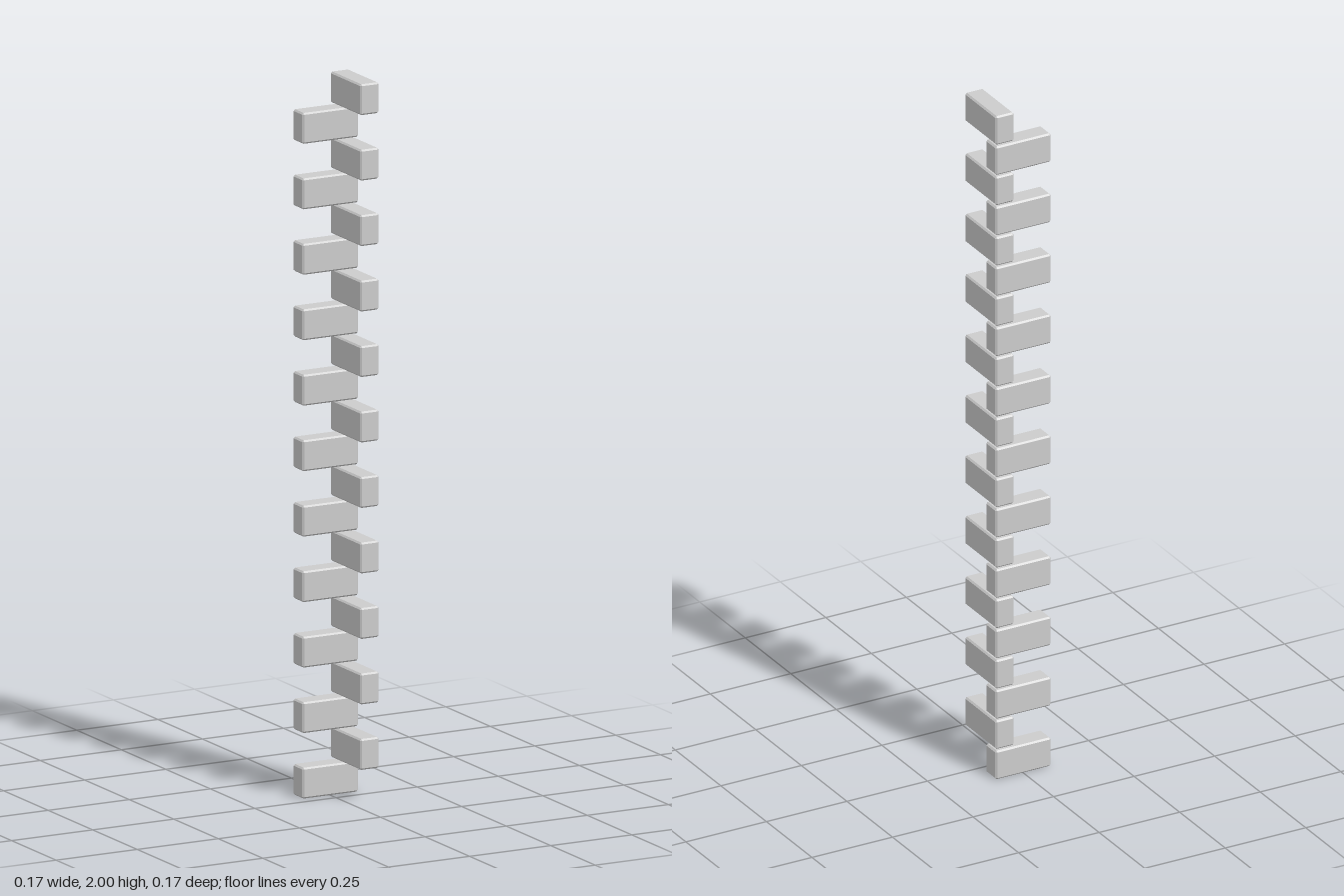
import * as THREE from 'three';
import { ConvexGeometry } from 'three/addons/geometries/ConvexGeometry.js';

const COUNT = 22;       // stacked quoin blocks
const LENGTH = 0.172;
const DEPTH = 0.057;
const HEIGHT = 0.086;
const BEVEL = 0.0045;

// Box with every edge chamfered: each corner becomes three points
function chamferedBox(w, h, d, b) {
  const points = [];
  for (const sx of [-1, 1]) for (const sy of [-1, 1]) for (const sz of [-1, 1]) {
    const x = w / 2, y = h / 2, z = d / 2;
    points.push(
      new THREE.Vector3(sx * x, sy * (y - b), sz * (z - b)),
      new THREE.Vector3(sx * (x - b), sy * y, sz * (z - b)),
      new THREE.Vector3(sx * (x - b), sy * (y - b), sz * z),
    );
  }
  return new ConvexGeometry(points);
}

export function createModel() {
  const group = new THREE.Group();
  group.name = 'cornerQuoins';
  const material = new THREE.MeshStandardMaterial({ color: 0xcccccc, flatShading: true });
  const alongX = chamferedBox(LENGTH, HEIGHT, DEPTH, BEVEL);
  const alongZ = chamferedBox(DEPTH, HEIGHT, LENGTH, BEVEL);
  const offset = (LENGTH - DEPTH) / 2;
  const pitch = (2 - HEIGHT) / (COUNT - 1);

  // Blocks alternate between the two walls, sharing the back left corner
  for (let i = 0; i < COUNT; i++) {
    const sideways = i % 2 === 0;
    const block = new THREE.Mesh(sideways ? alongX : alongZ, material);
    block.name = sideways ? 'backWallBlock' : 'sideWallBlock';
    block.position.set(sideways ? 0 : offset, HEIGHT / 2 + i * pitch, sideways ? -offset : 0);
    group.add(block);
  }
  return group;
}
